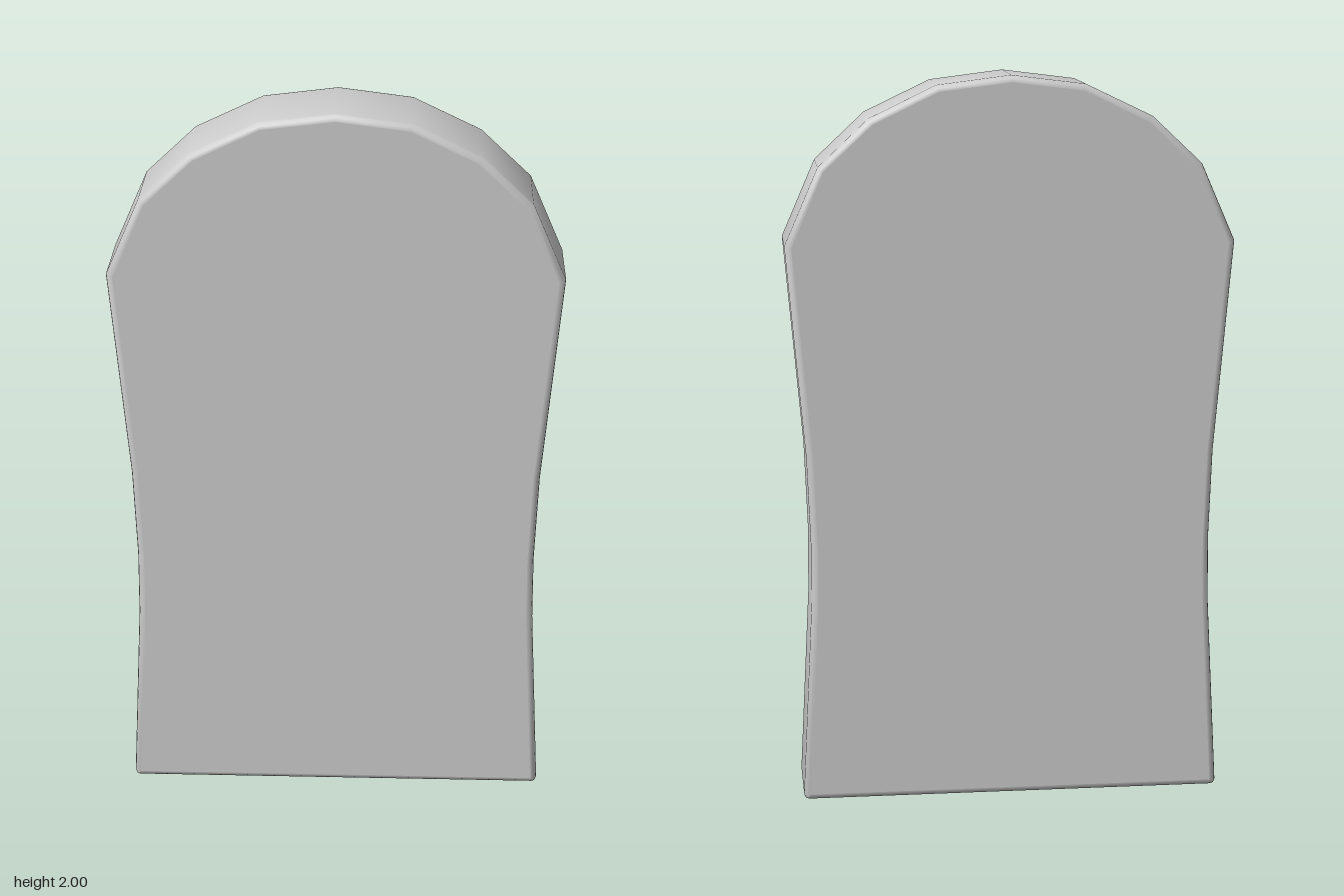
import * as THREE from 'three';
import { toCreasedNormals } from 'three/addons/utils/BufferGeometryUtils.js';

const DEPTH = 0.264, BEVEL = 0.018;

export function createModel() {
  const group = new THREE.Group();
  group.name = 'roundedSlab';

  // Right half of the outline, from the base up: waisted side, then faceted arch
  const half = [
    [0.568, 0], [0.577, 0.004], [0.581, 0.014], [0.553, 0.54], [0.551, 0.72], [0.56, 0.97],
    [0.61, 1.55], [0.518, 1.76], [0.382, 1.888], [0.2, 1.975],
  ].map(([x, y]) => new THREE.Vector2(x, y));
  const mirrored = half.map((p) => new THREE.Vector2(-p.x, p.y)).reverse();
  const outline = new THREE.Shape([...half, new THREE.Vector2(0, 2), ...mirrored]);

  // Slab with softly rounded rims
  let geometry = new THREE.ExtrudeGeometry(outline, {
    depth: DEPTH - 2 * BEVEL,
    bevelEnabled: true,
    bevelThickness: BEVEL,
    bevelSize: BEVEL,
    bevelOffset: -BEVEL,
    bevelSegments: 3,
  });
  geometry.translate(0, 0, BEVEL - DEPTH / 2);
  geometry = toCreasedNormals(geometry, 0.8);

  // Keep the two broad faces perfectly flat
  const { position, normal } = geometry.attributes;
  const caps = geometry.groups[0];
  for (let i = caps.start; i < caps.start + caps.count; i++) {
    normal.setXYZ(i, 0, 0, Math.sign(position.getZ(i)));
  }
  geometry.clearGroups();

  const slab = new THREE.Mesh(geometry, new THREE.MeshStandardMaterial({ color: 0xcccccc }));
  slab.name = 'slab';
  group.add(slab);
  return group;
}
